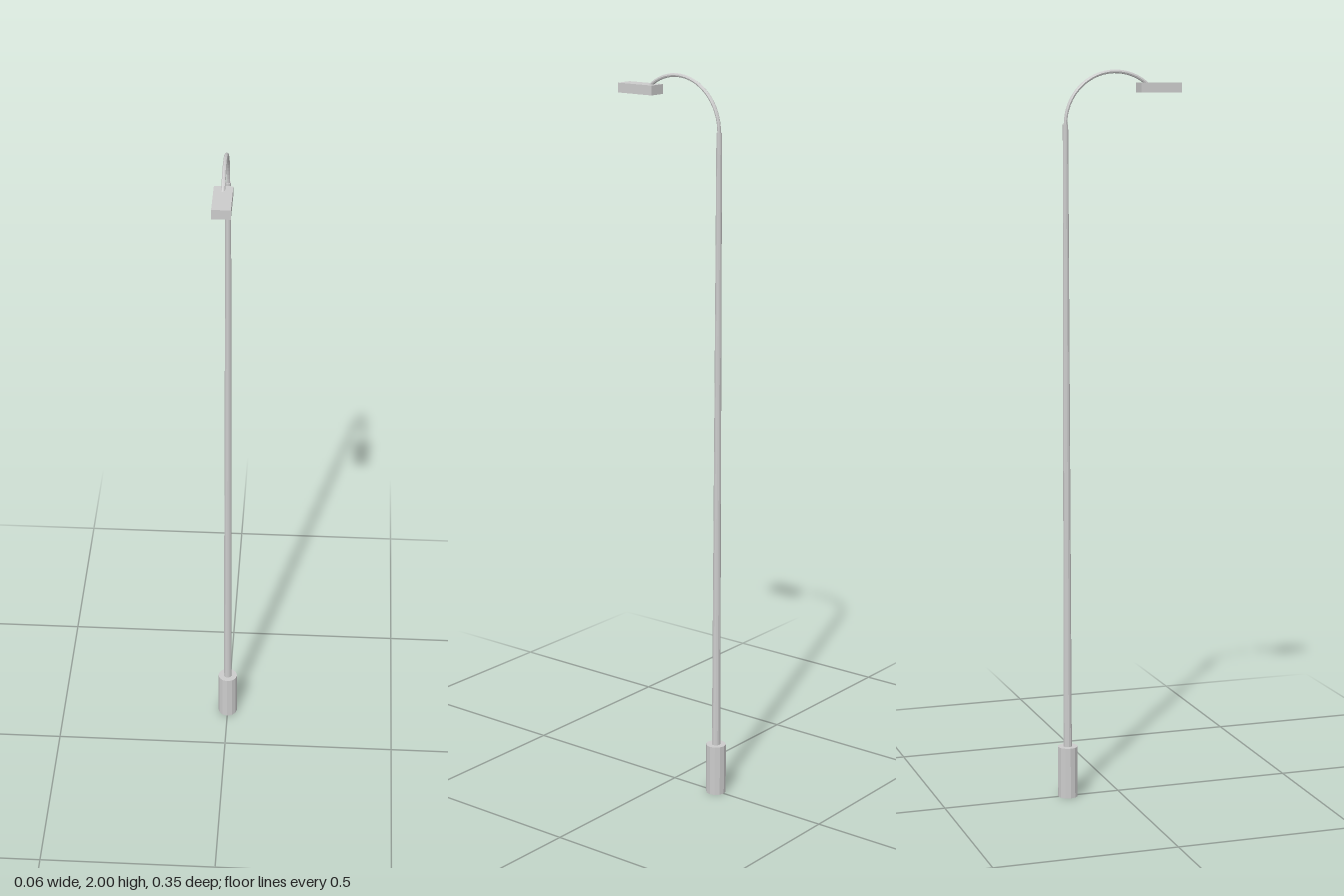
import * as THREE from 'three';

const POLE_Z = -0.147;
const ARM_R = 0.14;
const POLE_TOP = 1.855;

export function createModel() {
  const group = new THREE.Group();
  const material = new THREE.MeshStandardMaterial({ color: 0xcccccc, flatShading: true });

  const add = (name, geometry, x, y, z) => {
    const mesh = new THREE.Mesh(geometry, material);
    mesh.name = name;
    mesh.position.set(x, y, z);
    group.add(mesh);
    return mesh;
  };

  // Thick base sleeve and slim tapered pole
  add('base', new THREE.CylinderGeometry(0.028, 0.028, 0.143, 12), 0, 0.0715, POLE_Z);
  add('pole', new THREE.CylinderGeometry(0.0075, 0.012, POLE_TOP - 0.1, 12), 0, (POLE_TOP + 0.1) / 2, POLE_Z);

  // Curved arm: a circular arc rising from the pole and bending down into the lamp
  const points = [];
  const sweep = THREE.MathUtils.degToRad(132);
  for (let i = 0; i <= 16; i++) {
    const a = (i / 16) * sweep;
    points.push(new THREE.Vector3(0, ARM_R * Math.sin(a), -ARM_R * Math.cos(a)));
  }
  const curve = new THREE.CatmullRomCurve3(points);
  add('arm', new THREE.TubeGeometry(curve, 24, 0.005, 8, false), 0, POLE_TOP, POLE_Z + ARM_R);

  // Flat rectangular lamp head
  add('lampHead', new THREE.BoxGeometry(0.048, 0.026, 0.115), 0, 1.952, 0.1165);

  return group;
}
